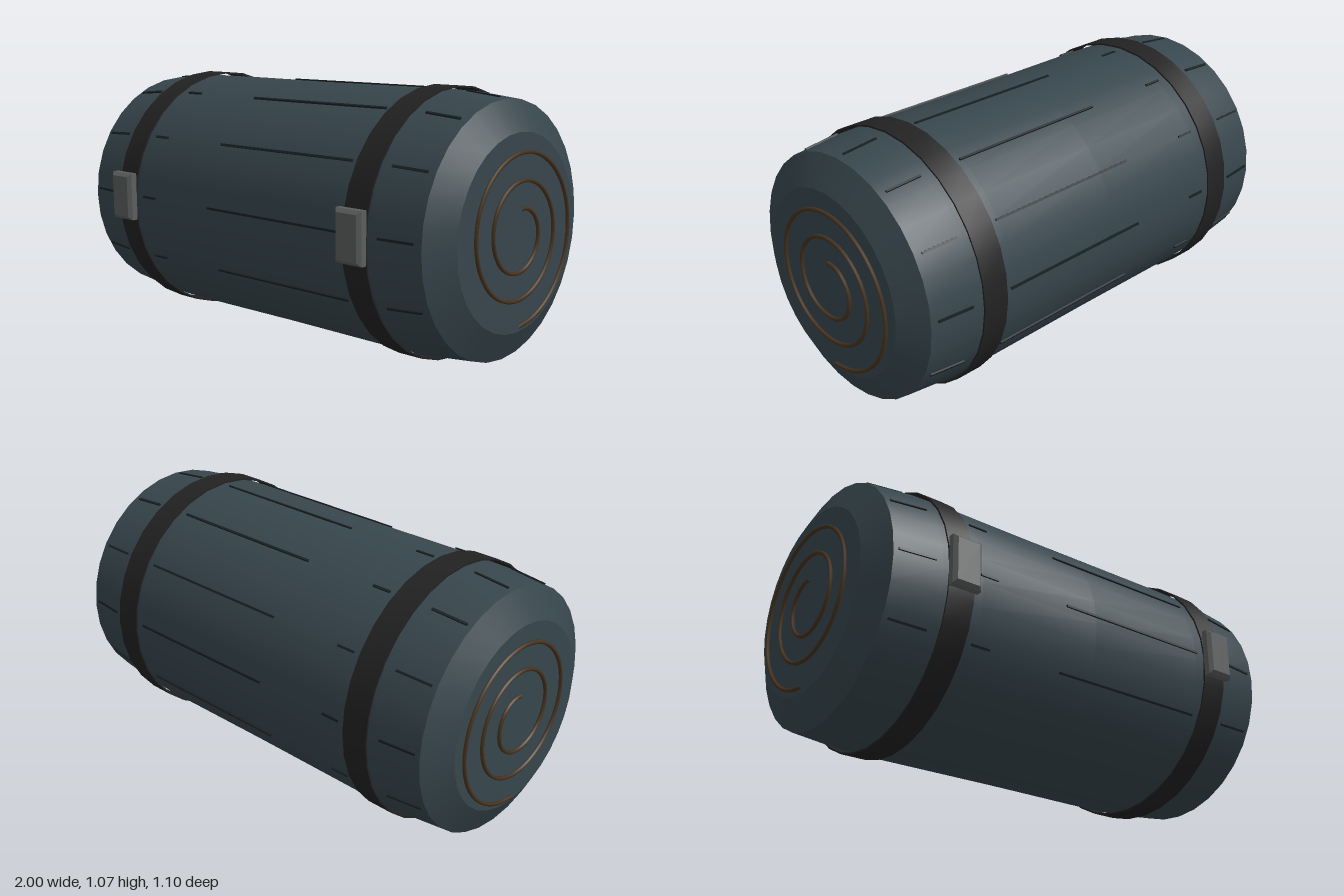
import * as THREE from 'three';
import { toCreasedNormals } from 'three/addons/utils/BufferGeometryUtils.js';

const mat = (name, color) => Object.assign(new THREE.MeshStandardMaterial({ color }), { name });

// Half profile of the roll: [distance from middle, radius]
const PROFILE = [[0, 0.513], [0.55, 0.515], [0.72, 0.512], [0.92, 0.492], [0.983, 0.375]];

function rollRadius(x) {
  const d = Math.abs(x);
  for (let i = 1; i < PROFILE.length; i++) {
    const [x0, r0] = PROFILE[i - 1], [x1, r1] = PROFILE[i];
    if (d <= x1) return r0 + (r1 - r0) * (d - x0) / (x1 - x0);
  }
  return 0;
}

// Lathe turned to run along x
function latheX(points, sides) {
  const geo = new THREE.LatheGeometry(points.map(([x, r]) => new THREE.Vector2(r, x)), sides);
  geo.rotateZ(-Math.PI / 2);
  return toCreasedNormals(geo, 0.4);
}

export function createModel() {
  const cloth = mat('slate cloth', 0x37464d);
  const stitch = mat('dark seam', 0x192124);
  const webbing = mat('black webbing', 0x222222);
  const metal = mat('grey buckle', 0x5c5e5e);
  const cord = mat('brown cord', 0x46331f);

  const model = new THREE.Group();
  model.name = 'bedroll';
  const roll = new THREE.Group();
  roll.name = 'roll';
  roll.position.set(0, 0.54, -0.02);
  roll.rotation.z = 0.009;
  model.add(roll);

  const add = (parent, name, geo, material) => {
    const mesh = new THREE.Mesh(geo, material);
    mesh.name = name;
    parent.add(mesh);
    return mesh;
  };

  // Rolled body with chamfered ends
  const left = PROFILE.slice(1).reverse().map(([x, r]) => [-x, r]);
  add(roll, 'body', latheX([[-0.983, 0], ...left, ...PROFILE, [0.983, 0]], 32), cloth);

  // Lengthwise seams, sinking into the cloth in places and underneath
  const spans = [[-0.9, -0.75], [-0.56, -0.48], [-0.15, 0.56], [0.74, 0.89]];
  for (let i = -4; i <= 4; i++) {
    const a = i * Math.PI / 6;
    const spoke = new THREE.Group();
    spoke.name = 'seam';
    spoke.rotation.x = Math.atan2(Math.sin(a), Math.cos(a) + 0.055);
    roll.add(spoke);
    for (const [x0, x1] of spans) {
      const r0 = rollRadius(x0), r1 = rollRadius(x1);
      const strip = add(spoke, 'seamStrip', new THREE.BoxGeometry(x1 - x0, 0.009, 0.009), stitch);
      strip.position.set((x0 + x1) / 2, (r0 + r1) / 2, 0);
      strip.rotation.z = Math.atan2(r1 - r0, x1 - x0);
    }
  }

  // Straps and buckles
  const h = 0.056, inner = 0.522, outer = 0.529;
  const band = latheX([[-h, inner], [-h, outer], [h, outer], [h, inner], [-h, inner]], 32);
  const bevel = 0.014, w = 0.062 - bevel, t = 0.1 - bevel;
  const plate = new THREE.Shape([[-w, -t], [w, -t], [w, t], [-w, t]].map(p => new THREE.Vector2(...p)));
  const buckleGeo = new THREE.ExtrudeGeometry(plate, {
    depth: 0.024, bevelEnabled: true, bevelSize: bevel, bevelThickness: bevel, bevelSegments: 1,
  });
  for (const x of [-0.65, 0.645]) {
    add(roll, 'strap', band, webbing).position.x = x;
    add(roll, 'buckle', buckleGeo, metal).position.set(x, 0.028, 0.53);
  }

  // Spiral cord on each end
  for (const side of [-1, 1]) {
    const points = [];
    for (let i = 0; i <= 60; i++) {
      const a = i / 60 * Math.PI * 5, r = 0.092 + 0.26 * i / 60;
      points.push(new THREE.Vector3(side * 0.991, r * Math.cos(a), -r * Math.sin(a)));
    }
    const curve = new THREE.CatmullRomCurve3(points);
    add(roll, 'endSpiral', new THREE.TubeGeometry(curve, 160, 0.008, 6), cord);
  }
  return model;
}
